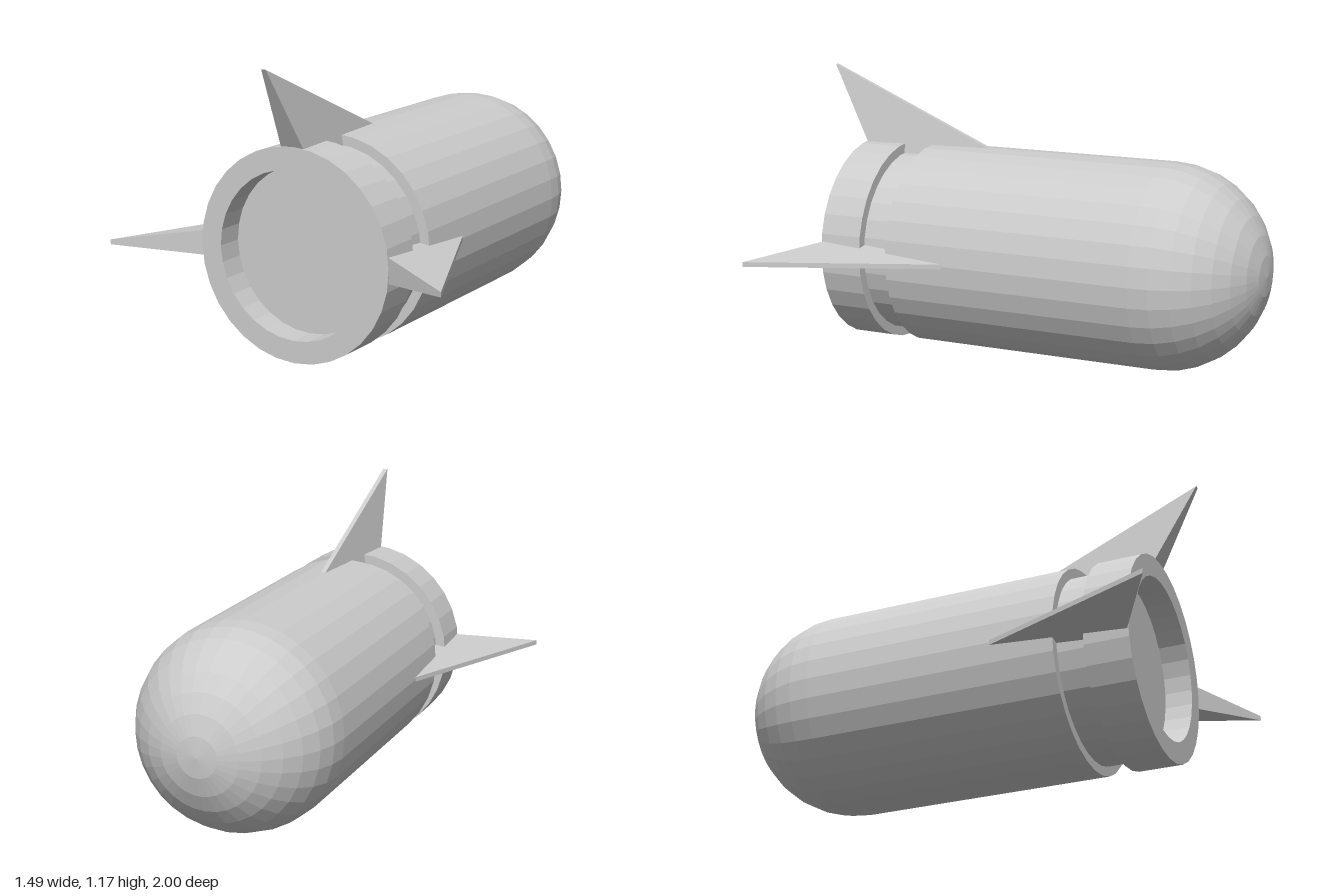
import * as THREE from 'three';

const RADIUS = 0.428;
const SIDES = 32;
const material = new THREE.MeshStandardMaterial({ color: 0xcccccc, flatShading: true });

function faceted(name, geometry) {
  const flat = geometry.toNonIndexed();
  flat.computeVertexNormals();
  const mesh = new THREE.Mesh(flat, material);
  mesh.name = name;
  return mesh;
}

// Revolves [radius, z] pairs, listed from nose to tail, around the z axis
function turned(name, profile) {
  const points = profile.map(([r, z]) => new THREE.Vector2(r, z));
  return faceted(name, new THREE.LatheGeometry(points, SIDES).rotateX(Math.PI / 2));
}

// Wedge-shaped swept fin: thin leading edge, thick trailing edge, pointed tip
function createFin(name, angle) {
  const geometry = new THREE.BoxGeometry(1, 1, 1);
  const p = geometry.attributes.position;
  for (let i = 0; i < p.count; i++) {
    const side = Math.sign(p.getX(i));
    const tip = p.getY(i) > 0;
    const trailing = p.getZ(i) > 0;
    if (tip) p.setXYZ(i, side * 0.01, 0.747, 1);
    else if (trailing) p.setXYZ(i, side * 0.056, 0.38, 0.795);
    else p.setXYZ(i, side * 0.01, 0.38, 0.137);
  }
  const fin = faceted(name, geometry);
  fin.rotation.z = angle;
  return fin;
}

export function createModel() {
  const model = new THREE.Group();
  model.name = 'rocket';
  const hull = new THREE.Group();
  hull.name = 'hull';
  hull.position.y = RADIUS;
  model.add(hull);

  // Fuselage with a hemispherical nose
  const rings = 8;
  const body = [];
  for (let i = 0; i <= rings; i++) {
    const a = (i / rings) * Math.PI / 2;
    body.push([RADIUS * Math.sin(a), -0.572 - RADIUS * Math.cos(a)]);
  }
  body.push([RADIUS, 0.515], [0.385, 0.515]);
  hull.add(turned('fuselage', body));

  // Recessed collar and hollow tail ring
  hull.add(turned('collar', [[0.388, 0.515], [0.388, 0.64]]));
  hull.add(turned('tailRing', [
    [0.385, 0.64], [RADIUS, 0.64], [RADIUS, 0.825],
    [0.338, 0.825], [0.338, 0.71], [0, 0.71],
  ]));

  // Three fins: top and both sides
  hull.add(createFin('topFin', 0));
  hull.add(createFin('leftFin', -Math.PI / 2));
  hull.add(createFin('rightFin', Math.PI / 2));

  return model;
}
